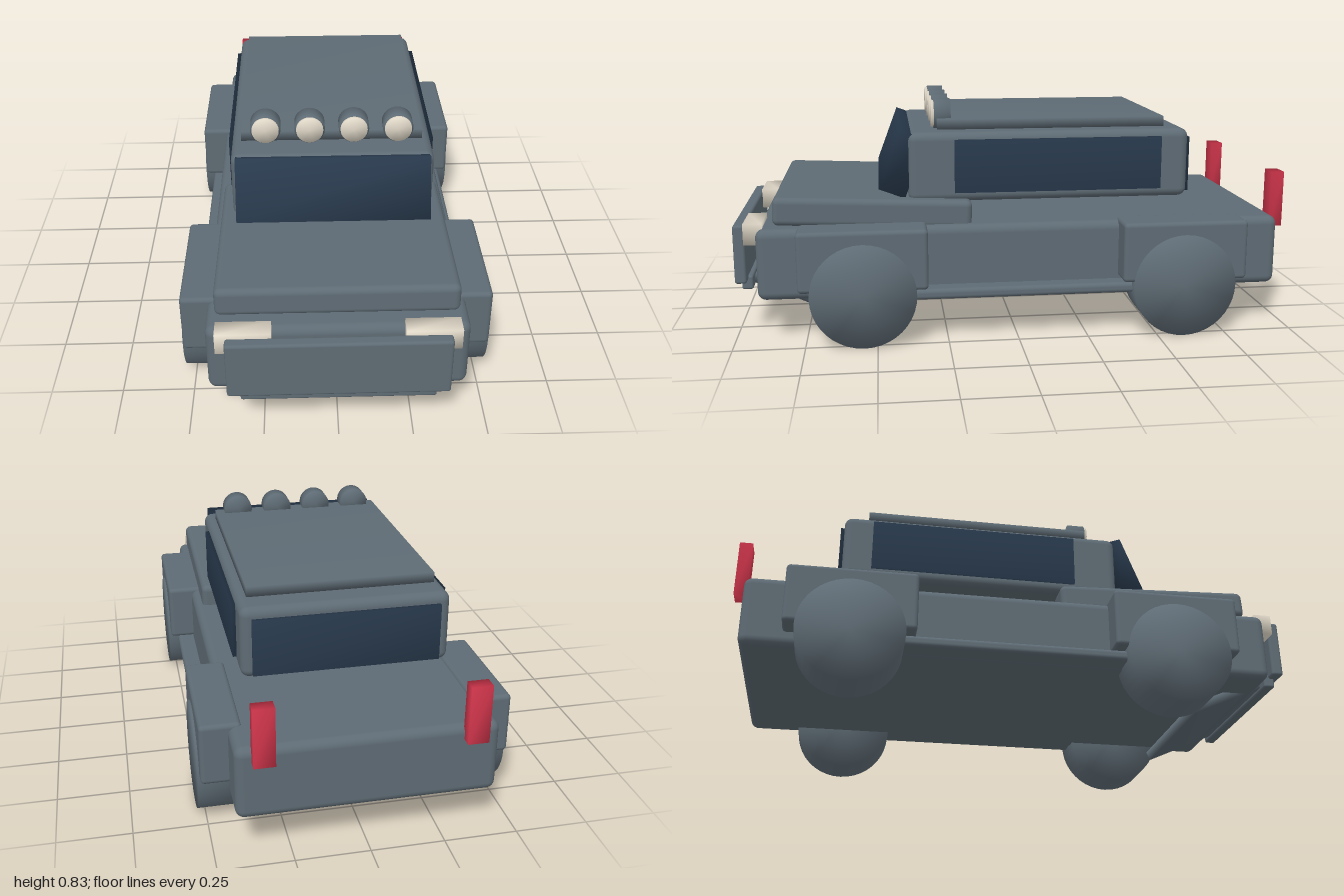
import * as THREE from 'three';
import { mergeVertices } from 'three/addons/utils/BufferGeometryUtils.js';
import { RoundedBoxGeometry } from 'three/addons/geometries/RoundedBoxGeometry.js';

function paint(name, color) {
  const m = new THREE.MeshStandardMaterial({ color });
  m.name = name;
  return m;
}

// Share vertices across edges so the shading runs smoothly over the whole part
function soften(geometry) {
  geometry.deleteAttribute('normal');
  geometry.deleteAttribute('uv');
  const merged = mergeVertices(geometry, 1e-4);
  merged.computeVertexNormals();
  return merged;
}

export function createModel() {
  const car = new THREE.Group();
  car.name = 'pickupTruck';
  const body = paint('slateBody', 0x5e6b74);
  const glass = paint('darkGlass', 0x28394c);
  const lens = paint('creamLens', 0xe0d8c8);
  const red = paint('redLamp', 0xd2364c);

  function add(name, geometry, material, x, y, z, tilt = 0) {
    const mesh = new THREE.Mesh(geometry, material);
    mesh.name = name;
    mesh.position.set(x, y, z);
    mesh.rotation.x = tilt;
    car.add(mesh);
    return mesh;
  }
  const rounded = (w, h, d, r) => new RoundedBoxGeometry(w, h, d, 4, r);
  const soft = (w, h, d) => soften(new THREE.BoxGeometry(w, h, d));

  // Main shell
  add('lowerBody', rounded(0.86, 0.255, 1.88, 0.03), body, 0, 0.278, -0.025);
  add('hood', rounded(0.8, 0.1, 0.7, 0.022), body, 0, 0.449, 0.506, -0.04);
  add('cabin', rounded(0.715, 0.25, 1.02, 0.03), body, 0, 0.6, -0.13);
  add('roofPanel', soft(0.645, 0.036, 0.825), body, 0, 0.75, -0.14);

  // Glass
  add('windshield', soft(0.68, 0.225, 0.1), glass, 0, 0.612, 0.399, -0.36);
  add('rearWindow', soft(0.64, 0.2, 0.03), glass, 0, 0.59, -0.638);

  // Front end
  add('frontBumper', rounded(0.725, 0.213, 0.042, 0.01), body, 0, 0.304, 0.978);
  add('bumperLip', rounded(0.64, 0.05, 0.04, 0.008), body, 0, 0.19, 0.96);
  add('skidPlate', soft(0.55, 0.035, 0.3), body, 0, 0.137, 0.805, -0.42);

  // Parts mirrored left and right
  const tyre = soften(new THREE.CylinderGeometry(0.185, 0.185, 0.16, 40).rotateZ(Math.PI / 2));
  for (const [side, s] of [['left', 1], ['right', -1]]) {
    add(side + 'SideWindow', soft(0.03, 0.19, 0.75), glass, s * 0.356, 0.605, -0.16);
    add(side + 'Sill', rounded(0.1, 0.038, 0.82, 0.015), body, s * 0.443, 0.174, -0.02);
    add(side + 'Headlight', soft(0.18, 0.075, 0.066), lens, s * 0.305, 0.385, 0.925);
    add(side + 'TailLight', soft(0.07, 0.203, 0.046), red, s * 0.342, 0.46, -0.977);
    for (const [end, fenderZ, wheelZ] of [['Front', 0.545, 0.546], ['Rear', -0.595, -0.593]]) {
      add(side + end + 'Fender', rounded(0.138, 0.215, 0.45, 0.015), body, s * 0.454, 0.308, fenderZ);
      add(side + end + 'Wheel', tyre, body, s * 0.449, 0.185, wheelZ);
    }
  }

  // Row of roof lamps
  const housing = soften(new THREE.CylinderGeometry(0.054, 0.054, 0.06, 28).rotateX(Math.PI / 2));
  const lampFace = soften(new THREE.CylinderGeometry(0.048, 0.048, 0.03, 28).rotateX(Math.PI / 2));
  for (let i = 0; i < 4; i++) {
    const x = (i - 1.5) * 0.157;
    add('roofLampHousing', housing, body, x, 0.78, 0.252);
    add('roofLampLens', lampFace, lens, x, 0.78, 0.277);
  }
  return car;
}
